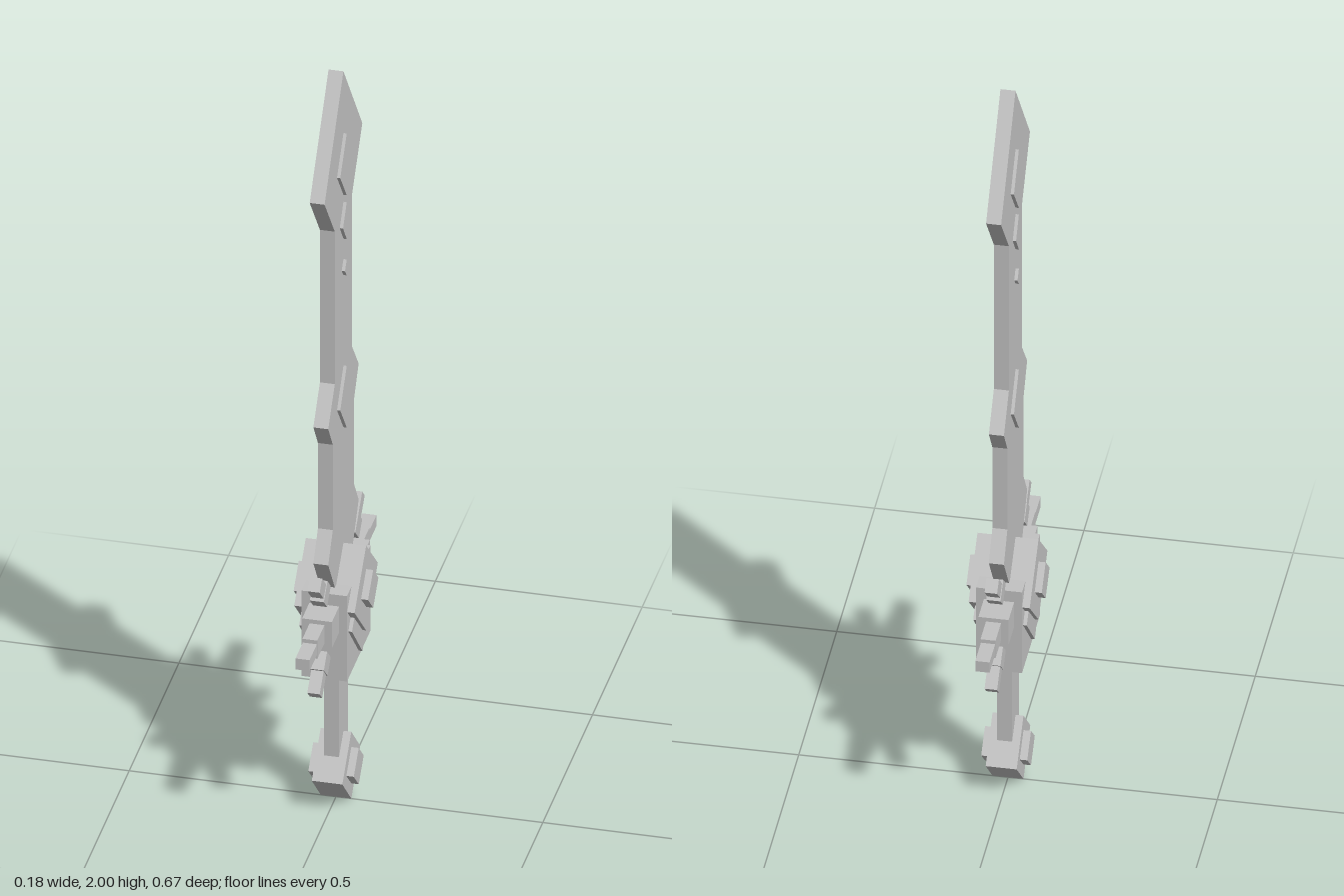
import * as THREE from 'three';

export function createModel() {
  const model = new THREE.Group();
  model.name = 'sword';
  const steel = new THREE.MeshStandardMaterial({ color: 0xc2c2c2 });
  steel.name = 'grey steel';

  const add = (name, geometry) => {
    const mesh = new THREE.Mesh(geometry, steel);
    mesh.name = name;
    model.add(mesh);
    return mesh;
  };

  // Plate from a half outline of [z, y] points, mirrored in z and extruded along x
  const plate = (name, half, halfThickness) => {
    const mirrored = half.filter(p => p[0] > 0).reverse().map(([z, y]) => [-z, y]);
    const shape = new THREE.Shape([...half, ...mirrored].map(([z, y]) => new THREE.Vector2(z, y)));
    const geo = new THREE.ExtrudeGeometry(shape, { depth: halfThickness * 2, bevelEnabled: false });
    geo.translate(0, 0, -halfThickness);
    geo.rotateY(Math.PI / 2);
    return add(name, geo);
  };
  const diamond = (name, y, halfWidth, halfHeight, halfThickness) =>
    plate(name, [[0, y + halfHeight], [halfWidth, y], [0, y - halfHeight]], halfThickness);
  const box = (name, x, y, z, cy, cz = 0) => {
    const mesh = add(name, new THREE.BoxGeometry(x, y, z));
    mesh.position.set(0, cy, cz);
    return mesh;
  };

  // Blade with arrow tip and flared barbs
  plate('blade', [
    [0, 2], [0.19, 1.745], [0.087, 1.61], [0.087, 1.19], [0.153, 1.105],
    [0.107, 1.035], [0.107, 0.8], [0.153, 0.73], [0.08, 0.62], [0.08, 0.55],
  ], 0.018);

  // Raised diamonds on both faces of the blade
  for (const [y, w, h] of [[1.745, 0.065, 0.085], [1.59, 0.037, 0.051], [1.461, 0.018, 0.022], [1.105, 0.065, 0.085]])
    diamond('bladeDiamond', y, w, h, 0.026);

  // Guard block with stacked diamonds
  box('guardBlock', 0.11, 0.235, 0.237, 0.5125);
  diamond('guardLowerDiamond', 0.525, 0.105, 0.115, 0.064);
  diamond('guardUpperDiamond', 0.585, 0.117, 0.117, 0.073);
  diamond('guardCentreDiamond', 0.585, 0.052, 0.052, 0.09);

  for (const s of [-1, 1]) {
    // Stepped cross guard arms
    box('armBase', 0.072, 0.072, 0.08, 0.563, s * 0.151);
    box('armMiddle', 0.036, 0.05, 0.075, 0.563, s * 0.2255);
    box('armTip', 0.034, 0.03, 0.076, 0.563, s * 0.299);
    // Slanted spikes above and below the arms
    for (const v of [-1, 1]) {
      const angle = -s * v * Math.PI / 4;
      box('spikeBase', 0.034, 0.052, 0.046, 0.558 + v * 0.096, s * 0.158).rotation.x = angle;
      box('spikeTip', 0.03, 0.035, 0.06, 0.558 + v * 0.131, s * 0.193).rotation.x = angle;
    }
  }

  // Grip and pommel
  box('grip', 0.036, 0.3, 0.09, 0.27);
  diamond('pommel', 0.092, 0.09, 0.092, 0.037);
  diamond('pommelDiamond', 0.092, 0.05, 0.05, 0.055);

  return model;
}
